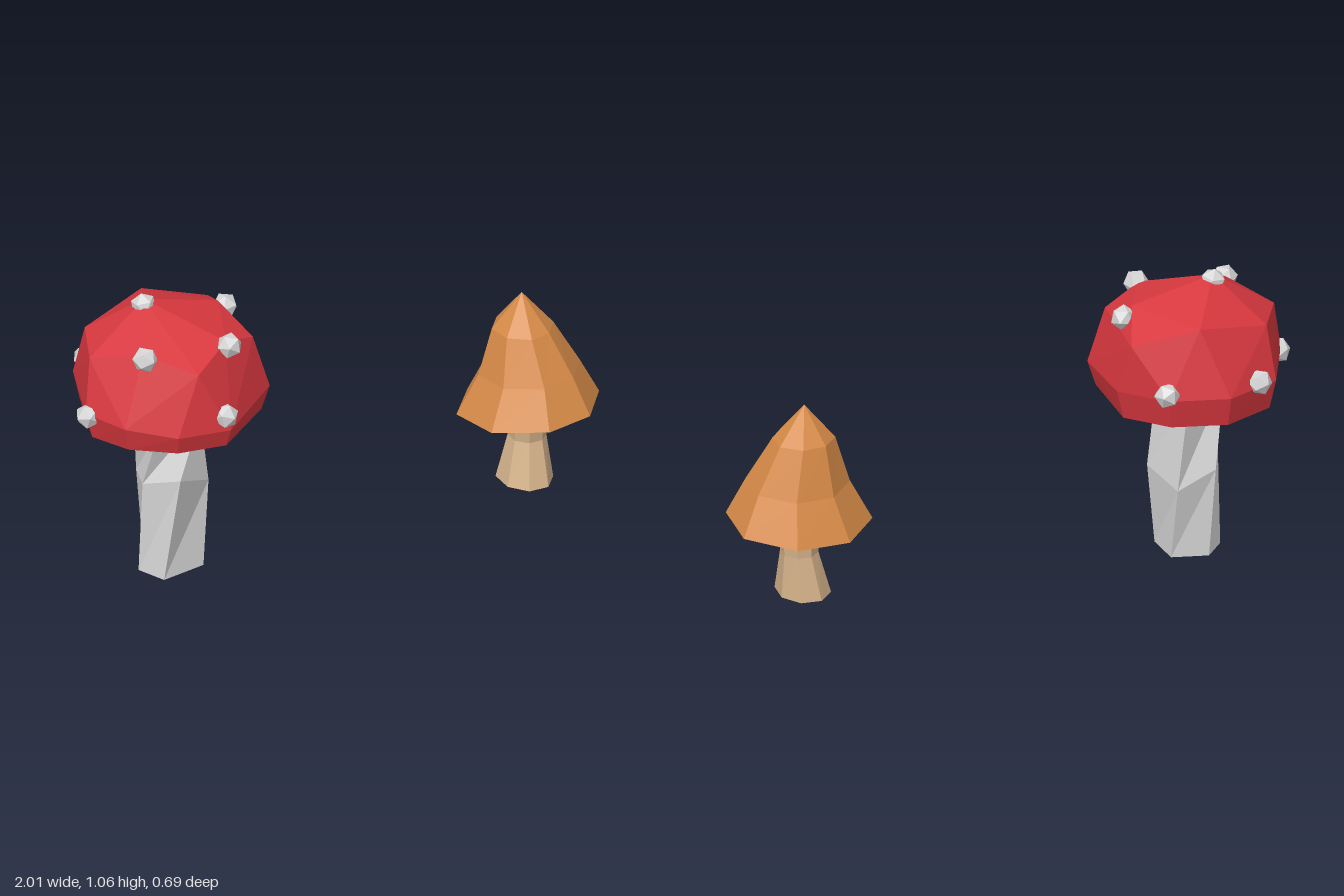
import * as THREE from 'three';
import { ConvexGeometry } from 'three/addons/geometries/ConvexGeometry.js';

const material = (name, color) => {
  const m = new THREE.MeshStandardMaterial({ color, flatShading: true });
  m.name = name;
  return m;
};

// Faceted closed solid through rings of [x, y, z], listed bottom to top,
// each ring running front, +x, back, -x.
function loft(rings) {
  const pos = [];
  const same = (a, b) => a.every((v, i) => v === b[i]);
  const tri = (a, b, c) => {
    if (!same(a, b) && !same(b, c) && !same(a, c)) pos.push(...a, ...b, ...c);
  };
  const n = rings[0].length;
  for (let r = 0; r < rings.length - 1; r++) {
    const lo = rings[r], hi = rings[r + 1];
    for (let i = 0; i < n; i++) {
      const j = (i + 1) % n;
      tri(lo[i], lo[j], hi[j]);
      tri(lo[i], hi[j], hi[i]);
    }
  }
  const first = rings[0], last = rings[rings.length - 1];
  for (let i = 1; i < n - 1; i++) {
    tri(first[0], first[i + 1], first[i]);
    tri(last[0], last[i], last[i + 1]);
  }
  const g = new THREE.BufferGeometry();
  g.setAttribute('position', new THREE.Float32BufferAttribute(pos, 3));
  g.computeVertexNormals();
  return g;
}

export function createModel() {
  const red = material('red cap', 0xd8383f);
  const white = material('pale grey', 0xd6d6d6);
  const orange = material('orange cap', 0xd68a47);
  const tan = material('tan stem', 0xd2b088);

  const model = new THREE.Group();
  const group = (name) => {
    const g = new THREE.Group();
    g.name = name;
    model.add(g);
    return g;
  };
  const add = (parent, name, geometry, mat) => {
    const mesh = new THREE.Mesh(geometry, mat);
    mesh.name = name;
    parent.add(mesh);
    return mesh;
  };

  // ---- large spotted mushroom ----
  const large = group('largeMushroom');

  // twisted five-sided stem
  add(large, 'largeStem', loft([
    [[-0.70, 0, 0.095], [-0.53, 0, 0.06], [-0.55, 0, -0.08], [-0.68, 0, -0.1], [-0.745, 0, -0.01]],
    [[-0.655, 0.39, 0.13], [-0.495, 0.31, 0.03], [-0.56, 0.27, -0.13], [-0.7, 0.33, -0.115], [-0.745, 0.35, 0.02]],
    [[-0.57, 0.62, 0.115], [-0.52, 0.62, 0], [-0.6, 0.62, -0.13], [-0.75, 0.62, -0.04], [-0.71, 0.62, 0.1]],
  ]), white);

  // irregular faceted cap with a flat underside
  const widest = [
    [-0.31, 0.68, 0.13], [-0.33, 0.70, -0.18], [-0.48, 0.70, -0.31],
    [-0.69, 0.70, -0.345], [-0.88, 0.70, -0.24], [-0.975, 0.69, 0.04],
    [-0.9, 0.68, 0.19], [-0.75, 0.66, 0.3], [-0.56, 0.66, 0.325],
  ];
  const upper = [
    [-0.71, 1.035, -0.04], [-0.6, 0.94, -0.27], [-0.37, 0.88, -0.22],
    [-0.42, 0.955, -0.045], [-0.37, 0.88, 0.12], [-0.51, 0.93, 0.19],
    [-0.665, 0.88, 0.285], [-0.81, 0.93, 0.15], [-0.94, 0.88, 0], [-0.86, 0.89, -0.19],
  ];
  const underside = widest.map(([x, , z]) => [-0.645 + (x + 0.645) * 0.92, 0.592, z * 0.93]);
  const capPoints = [...widest, ...upper, ...underside].map((p) => new THREE.Vector3(...p));
  add(large, 'largeCap', new ConvexGeometry(capPoints), red);

  // icosahedral spots, each with one corner pointing outward
  const corner = new THREE.Vector3(-1, (1 + Math.sqrt(5)) / 2, 0).normalize();
  const capCentre = new THREE.Vector3(-0.66, 0.68, 0);
  const spot = new THREE.IcosahedronGeometry(0.046, 0);
  [
    [-0.71, 1.01, -0.04], [-0.385, 0.92, -0.06], [-0.505, 0.92, 0.205], [-0.81, 0.92, 0.165],
    [-0.57, 0.71, 0.305], [-0.965, 0.68, 0.04], [-0.81, 0.72, -0.28], [-0.475, 0.72, -0.3],
  ].forEach((p, i) => {
    const mesh = add(large, 'spot' + (i + 1), spot, white);
    mesh.position.set(...p);
    const out = mesh.position.clone().sub(capCentre).normalize();
    mesh.quaternion.setFromUnitVectors(corner, out);
  });

  // ---- small pointed mushroom ----
  const small = group('smallMushroom');

  // eight-sided stem, flared at the foot
  const ring = (y, cx, cz, rx, rz) => Array.from({ length: 8 }, (_, i) => {
    const a = (i + 0.5) * Math.PI / 4;
    return [cx + Math.sin(a) * rx * 1.06, y, cz + Math.cos(a) * rz * 1.06];
  });
  add(small, 'smallStem', loft([
    ring(0.005, 0.742, 0, 0.09, 0.112),
    ring(0.16, 0.758, -0.012, 0.062, 0.068),
    ring(0.33, 0.758, -0.003, 0.066, 0.077),
  ]), tan);

  // tilted conical cap with an uneven eight-sided rim
  const rim = [
    [0.705, 0.26], [0.88, 0.225], [1.0, 0.06], [0.99, -0.135],
    [0.83, -0.25], [0.635, -0.22], [0.51, -0.06], [0.54, 0.145],
  ];
  const capRing = (scale, y, cx, cz, tilt) => rim.map(([x, z]) => [
    cx + (x - 0.755) * scale,
    y + tilt * (0.04 * (x - 0.755) + 0.08 * z),
    cz + z * scale,
  ]);
  add(small, 'smallCap', loft([
    capRing(1, 0.288, 0.755, 0, 1),
    capRing(0.71, 0.425, 0.76, 0, 0.5),
    capRing(0.43, 0.587, 0.742, -0.014, 0),
    capRing(0, 0.713, 0.742, -0.02, 0),
  ]), orange);

  return model;
}
